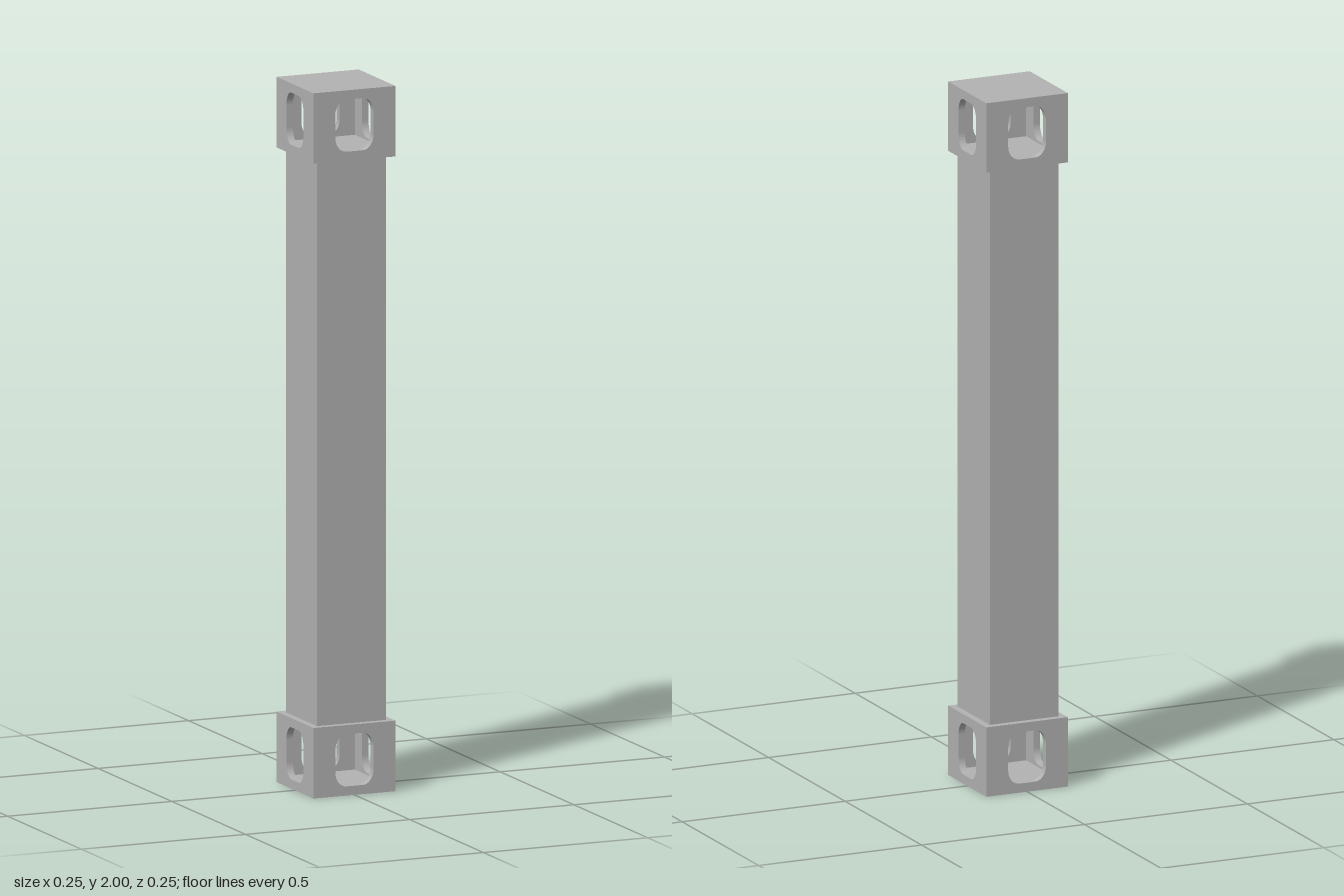
import * as THREE from 'three';

const WIDTH = 0.25;   // block footprint
const HEIGHT = 0.2;   // block height
const WALL = 0.02;    // block wall thickness

// Wall plate with a rounded slot, centred on its own origin
function slottedWall(width, height) {
  const shape = new THREE.Shape();
  shape.moveTo(-width / 2, -height / 2);
  shape.lineTo(width / 2, -height / 2);
  shape.lineTo(width / 2, height / 2);
  shape.lineTo(-width / 2, height / 2);
  shape.closePath();

  const a = 0.058, b = 0.074, rx = 0.033, ry = 0.042;
  const slot = new THREE.Path();
  slot.moveTo(a, b - ry);
  slot.absellipse(a - rx, b - ry, rx, ry, 0, Math.PI / 2);
  slot.absellipse(-a + rx, b - ry, rx, ry, Math.PI / 2, Math.PI);
  slot.absellipse(-a + rx, -b + ry, rx, ry, Math.PI, Math.PI * 1.5);
  slot.absellipse(a - rx, -b + ry, rx, ry, Math.PI * 1.5, Math.PI * 2);
  slot.closePath();
  shape.holes.push(slot);

  const geometry = new THREE.ExtrudeGeometry(shape, { depth: WALL, bevelEnabled: false, curveSegments: 8 });
  return geometry.translate(0, 0, -WALL / 2);
}

// Hollow end block: two plates and four slotted walls
function endBlock(name, y, material) {
  const block = new THREE.Group();
  block.name = name;
  block.position.y = y;

  const plate = new THREE.BoxGeometry(WIDTH, WALL, WIDTH);
  for (const side of [-1, 1]) {
    const mesh = new THREE.Mesh(plate, material);
    mesh.name = side < 0 ? 'blockFloor' : 'blockRoof';
    mesh.position.y = side * (HEIGHT - WALL) / 2;
    block.add(mesh);
  }

  const wallHeight = HEIGHT - 2 * WALL;
  const wide = slottedWall(WIDTH, wallHeight);
  const narrow = slottedWall(WIDTH - 2 * WALL, wallHeight);
  ['frontWall', 'leftWall', 'backWall', 'rightWall'].forEach((wallName, i) => {
    const mesh = new THREE.Mesh(i % 2 ? narrow : wide, material);
    const angle = i * Math.PI / 2;
    const reach = (WIDTH - WALL) / 2;
    mesh.name = wallName;
    mesh.rotation.y = angle;
    mesh.position.set(Math.sin(angle) * reach, 0, Math.cos(angle) * reach);
    block.add(mesh);
  });
  return block;
}

export function createModel() {
  const model = new THREE.Group();
  model.name = 'cornerPost';
  const grey = new THREE.MeshStandardMaterial({ color: 0xb2b2b2 });
  grey.name = 'grey';

  // Square column between the two end blocks
  const column = new THREE.Mesh(new THREE.BoxGeometry(0.21, 2 - 2 * HEIGHT, 0.21), grey);
  column.name = 'column';
  column.position.y = 1;
  model.add(column);

  model.add(endBlock('bottomBlock', HEIGHT / 2, grey));
  model.add(endBlock('topBlock', 2 - HEIGHT / 2, grey));
  return model;
}
